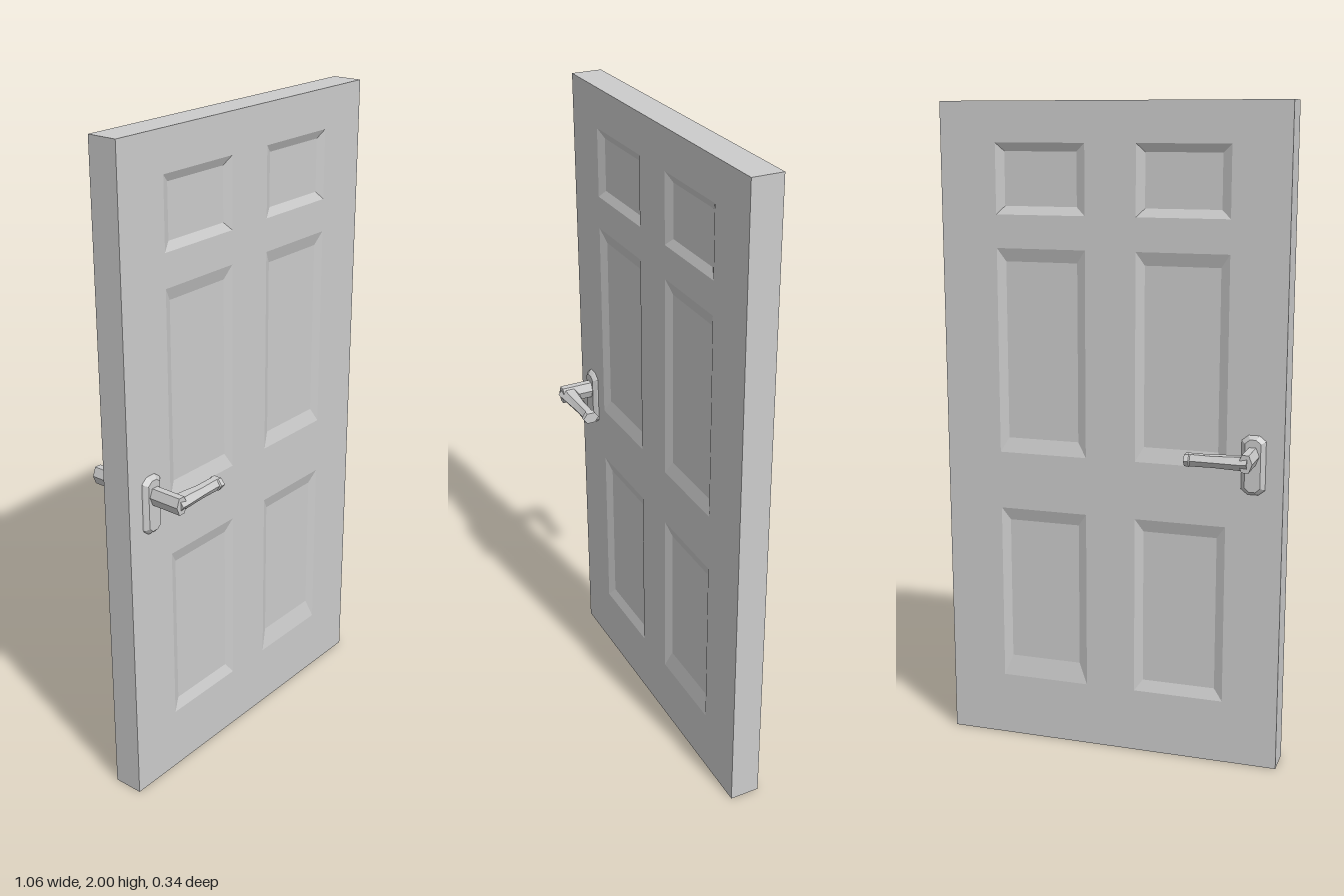
import * as THREE from 'three';

const paint = new THREE.MeshStandardMaterial({ color: 0xcccccc });
const FACE = 0.047; // half thickness of the door

// Flat-faced skin through loops of [x, y, z] points, with optional flat caps
function loft(loops, startCap = true, endCap = true) {
  const pos = [];
  const tri = (a, b, c) => pos.push(...a, ...b, ...c);
  const n = loops[0].length;
  for (let i = 0; i < loops.length - 1; i++) {
    for (let j = 0; j < n; j++) {
      const k = (j + 1) % n, lo = loops[i], hi = loops[i + 1];
      tri(lo[j], lo[k], hi[k]);
      tri(lo[j], hi[k], hi[j]);
    }
  }
  const first = loops[0], last = loops[loops.length - 1];
  for (let j = 1; j < n - 1; j++) {
    if (startCap) tri(first[0], first[j + 1], first[j]);
    if (endCap) tri(last[0], last[j], last[j + 1]);
  }
  const geo = new THREE.BufferGeometry();
  geo.setAttribute('position', new THREE.Float32BufferAttribute(pos, 3));
  geo.computeVertexNormals();
  return geo;
}

// Mirrors a geometry to the back of the door and restores its winding
function mirrorZ(source) {
  const geo = source.index ? source.toNonIndexed() : source.clone();
  const p = geo.attributes.position;
  const pts = Array.from({ length: p.count }, (_, i) => new THREE.Vector3().fromBufferAttribute(p, i));
  pts.forEach((_, i) => {
    const v = pts[i % 3 === 0 ? i : i % 3 === 1 ? i + 1 : i - 1];
    p.setXYZ(i, v.x, v.y, -v.z);
  });
  geo.computeVertexNormals();
  return geo;
}

const rect = (x0, x1, y0, y1, z) => [[x0, y0, z], [x1, y0, z], [x1, y1, z], [x0, y1, z]];

// Rectangle with cut corners, for the handle plate
function cutRect(x0, x1, y0, y1, cx, cy, z) {
  return [[x0 + cx, y0, z], [x1 - cx, y0, z], [x1, y0 + cy, z], [x1, y1 - cy, z],
    [x1 - cx, y1, z], [x0 + cx, y1, z], [x0, y1 - cy, z], [x0, y0 + cy, z]];
}

// Six-sided spindle section, pointed to the sides
function spindleLoop(z) {
  return Array.from({ length: 6 }, (_, i) => {
    const a = i * Math.PI / 3;
    return [-0.44 + 0.021 * Math.cos(a), 0.987 + 0.03 * Math.sin(a), z];
  });
}

// Six-sided lever section, across the x axis
function leverLoop([x, y, z, h, w]) {
  return [[0, -1], [1, -0.5], [1, 0.5], [0, 1], [-1, 0.5], [-1, -0.5]]
    .map(([b, a]) => [x, y + b * h, z + a * w * 2]);
}

export function createModel() {
  const door = new THREE.Group();
  door.name = 'door';

  // Panel rows: outer bottom, outer top, inner top, inner bottom for each column
  const rows = [
    { name: 'upperPanel', y0: 1.67, y1: 1.88, top: 1.855, bottom: [1.695, 1.695] },
    { name: 'middlePanel', y0: 0.94, y1: 1.57, top: 1.53, bottom: [0.985, 0.985] },
    { name: 'lowerPanel', y0: 0.2, y1: 0.76, top: 0.72, bottom: [0.235, 0.265] },
  ];
  const columns = [[-0.36, -0.078], [0.078, 0.357]];

  const outline = new THREE.Shape(rect(-0.532, 0.532, 0, 2, 0).map(([x, y]) => new THREE.Vector2(x, y)));
  const front = []; // [name, geometry] pairs, repeated on the back

  // Recessed panels with sloping borders
  for (const row of rows) {
    columns.forEach(([x0, x1], c) => {
      outline.holes.push(new THREE.Path(
        rect(x0, x1, row.y0, row.y1, 0).reverse().map(([x, y]) => new THREE.Vector2(x, y))));
      front.push([row.name, loft([
        rect(x0, x1, row.y0, row.y1, FACE),
        rect(x0 + 0.028, x1 - 0.025, row.bottom[c], row.top, FACE - 0.012),
      ], false, true)]);
    });
  }
  const frame = new THREE.ShapeGeometry(outline);
  frame.translate(0, 0, FACE);
  front.push(['doorFace', frame]);

  // Handle: chamfered plate, spindle and lever
  front.push(['handlePlate', loft([
    cutRect(-0.478, -0.405, 0.867, 1.047, 0.02, 0.016, FACE),
    cutRect(-0.476, -0.407, 0.869, 1.045, 0.02, 0.016, FACE + 0.004),
    cutRect(-0.465, -0.418, 0.878, 1.036, 0.014, 0.012, FACE + 0.014),
  ], false)]);
  front.push(['handleSpindle', loft([spindleLoop(FACE + 0.01), spindleLoop(0.161)])]);
  front.push(['handleLever', loft([
    [-0.445, 0.987, 0.139, 0.022, 0.016],
    [-0.418, 0.985, 0.138, 0.02, 0.015],
    [-0.34, 0.984, 0.139, 0.017, 0.011],
    [-0.275, 0.984, 0.139, 0.018, 0.01],
    [-0.272, 0.984, 0.139, 0.019, 0.013],
    [-0.258, 0.984, 0.139, 0.017, 0.013],
  ].map(leverLoop))]);

  const add = (name, geo) => {
    const mesh = new THREE.Mesh(geo, paint);
    mesh.name = name;
    door.add(mesh);
  };
  for (const [name, geo] of front) {
    add(name, geo);
    add(name + 'Back', mirrorZ(geo));
  }

  // Outer edges of the slab
  add('doorEdge', loft([rect(-0.532, 0.532, 0, 2, -FACE), rect(-0.532, 0.532, 0, 2, FACE)], false, false));
  return door;
}
